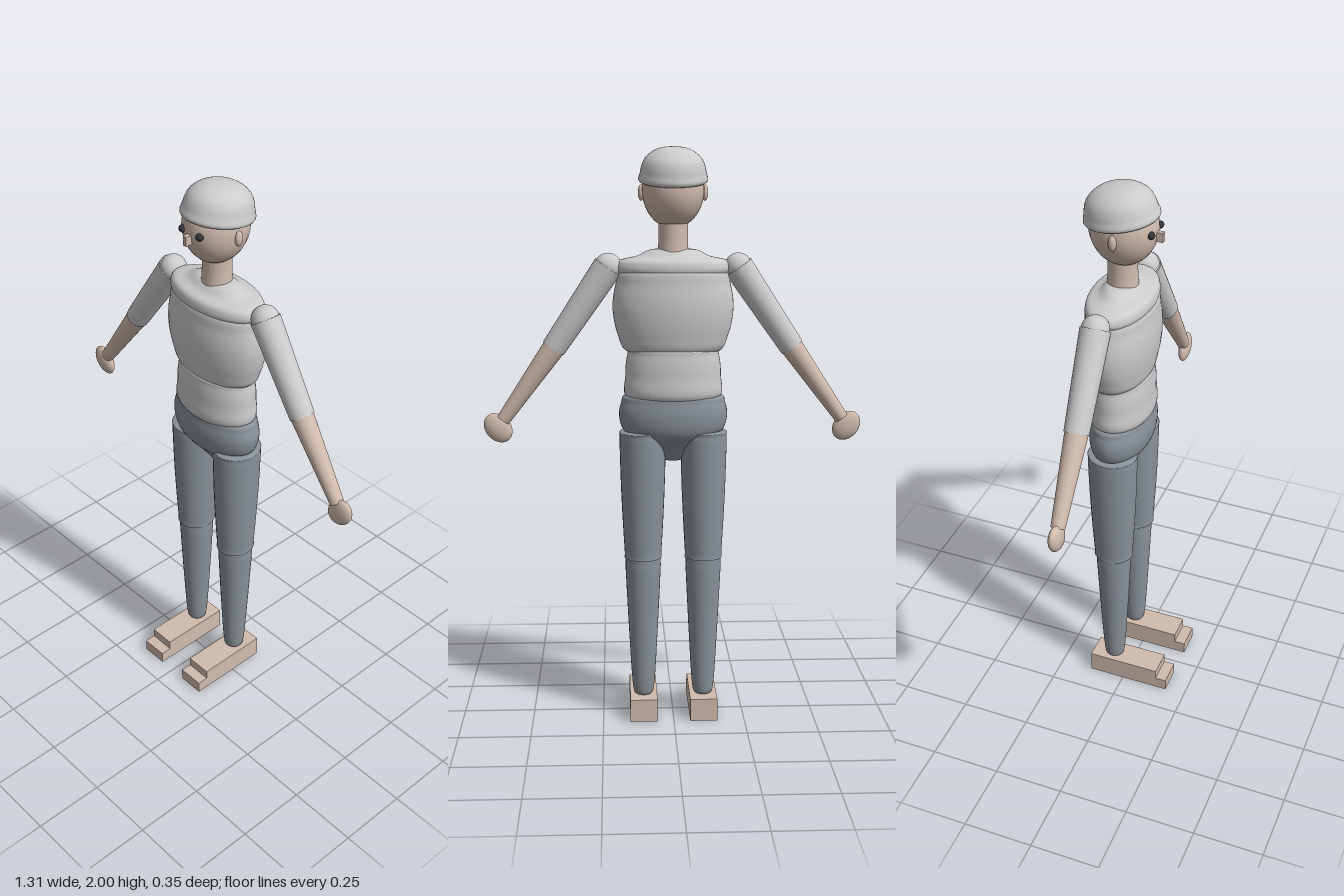
import * as THREE from 'three';

const mat = (color) => new THREE.MeshStandardMaterial({ color, side: THREE.DoubleSide });
const V = (x, y, z) => new THREE.Vector3(x, y, z);
const AXIS_Z = -0.05;

export function createModel() {
  const root = new THREE.Group();
  const grey = mat(0xcccccc), skin = mat(0xd2bcae), cloth = mat(0x8a9399), dark = mat(0x33353a);

  const add = (name, geometry, material, parent = root) => {
    const mesh = new THREE.Mesh(geometry, material);
    mesh.name = name;
    parent.add(mesh);
    return mesh;
  };

  // Smooth turned form from a few [radius, height] points, flattened in depth
  const turned = (name, points, depth, material, parent, segments = 40) => {
    const curve = new THREE.SplineCurve(points.map(([r, y]) => new THREE.Vector2(r, y)));
    const profile = curve.getPoints(points.length * 5).map((p) => new THREE.Vector2(Math.max(p.x, 0), p.y));
    const mesh = add(name, new THREE.LatheGeometry(profile, segments), material, parent);
    mesh.scale.z = depth;
    return mesh;
  };

  const ball = (name, pos, radii, material, parent) => {
    const mesh = add(name, new THREE.SphereGeometry(1, 28, 20), material, parent);
    mesh.position.copy(pos);
    mesh.scale.set(...radii);
    return mesh;
  };

  // Tapered limb between two points
  const limb = (name, a, b, ra, rb, material, parent) => {
    const dir = b.clone().sub(a);
    const mesh = add(name, new THREE.CylinderGeometry(rb, ra, dir.length(), 28), material, parent);
    mesh.position.copy(a).add(b).multiplyScalar(0.5);
    mesh.quaternion.setFromUnitVectors(V(0, 1, 0), dir.normalize());
    return mesh;
  };

  // Torso
  const torso = new THREE.Group();
  torso.name = 'torso';
  torso.position.z = AXIS_Z;
  root.add(torso);
  turned('pelvis', [[0, 0.93], [0.035, 0.935], [0.085, 0.975], [0.165, 1.03], [0.187, 1.085], [0.18, 1.135], [0.155, 1.165], [0, 1.17]], 0.56, cloth, torso);
  turned('abdomen', [[0, 1.14], [0.155, 1.15], [0.165, 1.23], [0.158, 1.3], [0.14, 1.325], [0, 1.33]], 0.63, grey, torso);
  turned('chest', [[0, 1.305], [0.15, 1.31], [0.19, 1.37], [0.207, 1.46], [0.197, 1.54], [0.17, 1.6], [0, 1.62]], 0.57, grey, torso);
  turned('shoulderYoke', [[0, 1.575], [0.165, 1.572], [0.193, 1.585], [0.196, 1.605], [0.18, 1.625], [0.125, 1.638], [0.075, 1.66], [0, 1.662]], 0.55, grey, torso);
  turned('neck', [[0.054, 1.63], [0.05, 1.69], [0.05, 1.76]], 1, skin, torso);

  // Head with cap of hair
  const head = new THREE.Group();
  head.name = 'head';
  root.add(head);
  ball('face', V(0, 1.862, -0.045), [0.106, 0.132, 0.115], skin, head);
  const hair = turned('hair', [[0, -0.002], [0.108, 0], [0.112, 0.035], [0.096, 0.08], [0.055, 0.11], [0, 0.118]], 1.07, grey, head);
  hair.position.set(0, 1.884, AXIS_Z);
  hair.rotation.x = -0.16;
  add('nose', new THREE.BoxGeometry(0.016, 0.033, 0.035), skin, head).position.set(0, 1.845, 0.072);

  for (const [side, s] of [['left', 1], ['right', -1]]) {
    ball(side + 'Eye', V(s * 0.04, 1.865, 0.062), [0.013, 0.013, 0.013], dark, head);
    ball(side + 'Ear', V(s * 0.108, 1.85, -0.042), [0.011, 0.027, 0.014], skin, head);

    // Arm
    const arm = new THREE.Group();
    arm.name = side + 'Arm';
    root.add(arm);
    const shoulder = V(s * 0.222, 1.602, -0.055);
    const elbow = V(s * 0.41, 1.325, -0.047);
    const wrist = V(s * 0.588, 1.075, -0.042);
    ball(side + 'Shoulder', shoulder, [0.047, 0.047, 0.047], grey, arm);
    limb(side + 'UpperArm', shoulder, elbow, 0.051, 0.042, grey, arm);
    ball(side + 'Elbow', elbow, [0.039, 0.039, 0.039], skin, arm);
    limb(side + 'Forearm', elbow, wrist, 0.039, 0.024, skin, arm);
    const hand = ball(side + 'Hand', V(s * 0.606, 1.047, -0.04), [0.044, 0.056, 0.021], skin, arm);
    hand.rotation.z = -s * 0.7;

    // Leg
    const leg = new THREE.Group();
    leg.name = side + 'Leg';
    leg.position.set(s * 0.106, 0, AXIS_Z);
    root.add(leg);
    turned(side + 'Thigh', [[0, 0.58], [0.06, 0.582], [0.065, 0.61], [0.075, 0.8], [0.08, 0.97], [0.08, 1.02], [0.074, 1.035], [0, 1.038]], 1.08, cloth, leg, 28);
    turned(side + 'Shin', [[0, 0.075], [0.028, 0.08], [0.039, 0.12], [0.05, 0.3], [0.06, 0.5], [0.062, 0.565], [0.056, 0.59], [0, 0.6]], 1, cloth, leg, 28);
    // Stepped foot: heel block with a lower toe
    add(side + 'Foot', new THREE.BoxGeometry(0.096, 0.08, 0.265), skin, leg).position.set(0, 0.04, 0.0525);
    add(side + 'Toe', new THREE.BoxGeometry(0.096, 0.045, 0.04), skin, leg).position.set(0, 0.0225, 0.205);
  }
  return root;
}
